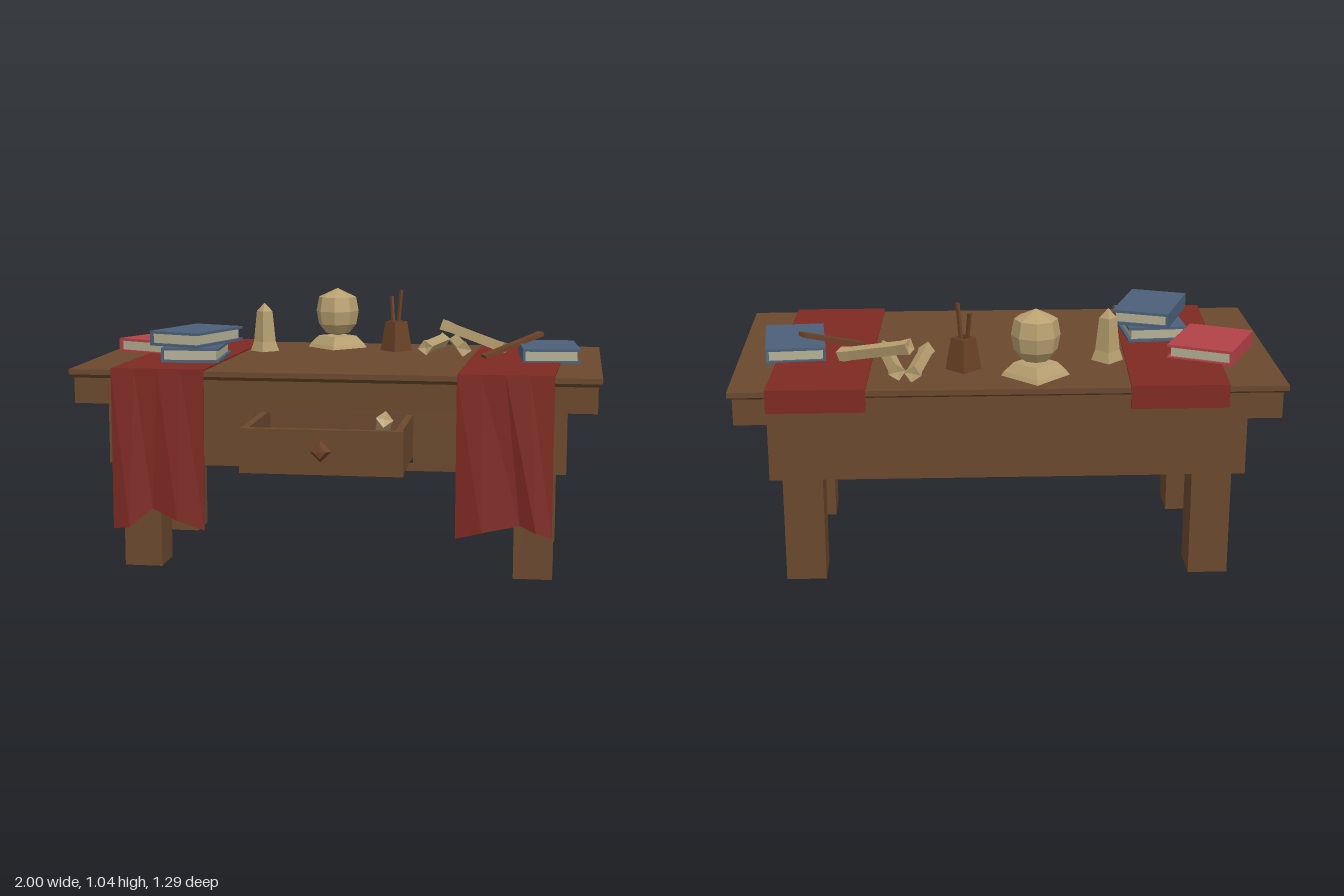
import * as THREE from 'three';

const mat = (name, color) => {
  const m = new THREE.MeshStandardMaterial({ color });
  m.name = name;
  return m;
};

export function createModel() {
  const wood = mat('wood', 0x6a482d);
  wood.side = THREE.DoubleSide; // the table body and legs are open below
  const darkWood = mat('dark wood', 0x6b4227);
  const cloth = mat('red cloth', 0x7e2922);
  const blue = mat('blue cover', 0x4b6079);
  const red = mat('red cover', 0xb24247);
  const paper = mat('pages', 0xb4b094);
  const bone = mat('parchment', 0xb8a070);
  const model = new THREE.Group();
  model.name = 'desk';

  const flat = (g) => {
    const f = g.index ? g.toNonIndexed() : g;
    f.computeVertexNormals();
    return f;
  };
  const add = (name, geo, material, parent = model) => {
    const m = new THREE.Mesh(flat(geo), material);
    m.name = name;
    parent.add(m);
    return m;
  };
  const indexed = (points, index) => {
    const g = new THREE.BufferGeometry();
    g.setAttribute('position', new THREE.Float32BufferAttribute(points.flat(), 3));
    g.setIndex(index);
    return g;
  };
  // Box given by its extents
  const box = (name, material, x0, x1, y0, y1, z0, z1, parent) => {
    const g = new THREE.BoxGeometry(x1 - x0, y1 - y0, z1 - z0);
    g.translate((x0 + x1) / 2, (y0 + y1) / 2, (z0 + z1) / 2);
    return add(name, g, material, parent);
  };
  // Turned shape from [radius, height] pairs
  const turned = (profile, sides = 4) =>
    new THREE.LatheGeometry(profile.map(([r, y]) => new THREE.Vector2(r, y)), sides);
  // Turned shape stretched between two points; heights run from 0 to 1
  const between = (name, material, a, b, profile) => {
    const A = new THREE.Vector3(...a), d = new THREE.Vector3(...b).sub(A);
    const m = add(name, turned(profile.map(([r, t]) => [r, t * d.length()])), material);
    m.position.copy(A);
    m.quaternion.setFromUnitVectors(new THREE.Vector3(0, 1, 0), d.normalize());
  };

  // Table top and moulding as one stepped shell: half width, back, front, height
  const steps = [
    [1, -0.635, 0.4, 0.787], [1, -0.635, 0.4, 0.767], [0.985, -0.607, 0.382, 0.753],
    [0.985, -0.605, 0.38, 0.655], [0.87, -0.525, 0.3, 0.655],
  ];
  const corners = steps.flatMap(([h, b, f, y]) => [[-h, y, f], [h, y, f], [h, y, b], [-h, y, b]]);
  const shell = [0, 1, 2, 0, 2, 3];
  for (let r = 0; r < steps.length - 1; r++) {
    for (let i = 0; i < 4; i++) {
      const a = r * 4 + i, b = r * 4 + (i + 1) % 4;
      shell.push(a, a + 4, b, b, a + 4, b + 4);
    }
  }
  add('tableTop', indexed(corners, shell), wood);

  // Thin apron walls, the front one cut out for the drawer
  const rect = (P, x0, x1, y0, y1) => {
    const p = new P();
    p.moveTo(x0, y0).lineTo(x1, y0).lineTo(x1, y1).lineTo(x0, y1).closePath();
    return p;
  };
  const front = rect(THREE.Shape, -0.875, 0.875, 0.412, 0.656);
  front.holes.push(rect(THREE.Path, -0.303, 0.303, 0.441, 0.625));
  const frontGeo = new THREE.ExtrudeGeometry(front, { depth: 0.01, bevelEnabled: false });
  add('frontApron', frontGeo, wood).position.z = 0.295;
  box('backApron', wood, -0.875, 0.875, 0.412, 0.656, -0.53, -0.52);
  for (const s of [-1, 1]) {
    const x = s * 0.87;
    box('sideApron', wood, x - 0.005, x + 0.005, 0.412, 0.656, -0.52, 0.295);
    for (const z of [-0.42, 0.195]) {
      // Square leg, open at the foot
      const g = new THREE.CylinderGeometry(Math.SQRT1_2, Math.SQRT1_2, 0.78, 4, 1, true);
      g.rotateY(Math.PI / 4).scale(0.148, 1, 0.16);
      add('leg', g, wood).position.set(s * 0.757, 0.39, z);
    }
  }

  // Open drawer
  const drawer = new THREE.Group();
  drawer.name = 'drawer';
  model.add(drawer);
  box('drawerBottom', wood, -0.29, 0.29, 0.447, 0.467, 0.15, 0.59, drawer);
  box('drawerFront', wood, -0.3, 0.298, 0.447, 0.612, 0.585, 0.612, drawer);
  box('drawerBack', wood, -0.29, 0.29, 0.447, 0.61, 0.15, 0.172, drawer);
  for (const s of [-1, 1]) {
    const x = s * 0.28;
    box('drawerSide', wood, x - 0.013, x + 0.013, 0.447, 0.612, 0.15, 0.59, drawer);
  }
  const knob = add('knob', turned([[0.024, 0], [0.04, 0.01], [0.024, 0.03], [0, 0.032]]), darkWood, drawer);
  knob.position.set(0, 0.535, 0.61);
  knob.rotation.x = Math.PI / 2;

  // Cloth runner: rows of five points joined as a thin closed band
  const runner = (name, rows) => {
    const t = 0.006;
    const inward = [[0, -t], [-t, -t], [-t, t], [0, t]];
    const rings = rows.map((row, r) => {
      const [dy, dz] = inward[r];
      return [...row, ...row.map(([x, y, z]) => [x, y + dy, z + dz]).reverse()];
    });
    const n = rings[0].length, index = [];
    for (let r = 0; r < rings.length - 1; r++) {
      for (let i = 0; i < n; i++) {
        const a = r * n + i, b = r * n + (i + 1) % n;
        index.push(a, b, a + n, b, b + n, a + n);
      }
    }
    const last = (rings.length - 1) * n;
    for (let i = 0; i < n / 2 - 1; i++) {
      const a = i, b = i + 1, c = n - 2 - i, d = n - 1 - i;
      index.push(a, d, b, b, d, c);
      index.push(last + a, last + b, last + d, last + b, last + c, last + d);
    }
    add(name, indexed(rings.flat(), index), cloth);
  };
  const across = (x0, x1, y, z) =>
    [0, 0.25, 0.5, 0.75, 1].map((t) => [x0 + (x1 - x0) * t, y, z]);
  runner('rightRunner', [
    [[-0.832, 0.18, 0.42], [-0.765, 0.19, 0.44], [-0.68, 0.26, 0.412], [-0.58, 0.22, 0.437], [-0.478, 0.182, 0.42]],
    across(-0.832, -0.475, 0.796, 0.413),
    across(-0.785, -0.432, 0.796, -0.643),
    across(-0.785, -0.432, 0.71, -0.643),
  ]);
  runner('leftRunner', [
    [[0.472, 0.182, 0.42], [0.57, 0.21, 0.437], [0.71, 0.237, 0.412], [0.77, 0.215, 0.44], [0.828, 0.195, 0.42]],
    across(0.472, 0.828, 0.796, 0.413),
    across(0.512, 0.866, 0.796, -0.643),
    across(0.512, 0.866, 0.71, -0.643),
  ]);

  // Books: two boards, a spine on the -x side and a block of pages
  const book = (name, cover, x, y, z, w, d, turn) => {
    const g = new THREE.Group();
    g.name = name;
    g.position.set(x, y, z);
    g.rotation.y = turn;
    model.add(g);
    const a = w / 2, b = d / 2, t = 0.01, h = 0.057;
    box('lowerBoard', cover, -a, a, 0, t, -b, b, g);
    box('upperBoard', cover, -a, a, h - t, h, -b, b, g);
    box('spine', cover, -a, -a + t, t, h - t, -b, b, g);
    box('pages', paper, -a + t, a - 0.012, t, h - t, -b + 0.012, b - 0.012, g);
  };
  book('redBook', red, -0.78, 0.791, -0.228, 0.25, 0.305, -0.437);
  book('lowerBlueBook', blue, -0.583, 0.797, 0.06, 0.225, 0.335, 0.07);
  book('upperBlueBook', blue, -0.583, 0.856, 0.056, 0.22, 0.33, -0.35);
  book('leftBlueBook', blue, 0.795, 0.791, -0.148, 0.222, 0.325, 0.09);
  book('drawerBook', red, -0.1, 0.468, 0.39, 0.2, 0.27, -0.23);

  // Faceted ball on a four-sided stand
  const ball = new THREE.Group();
  ball.name = 'ballOnStand';
  ball.position.set(-0.1, 0.787, -0.475);
  model.add(ball);
  add('stand', turned([[0, 0], [0.125, 0], [0.115, 0.015], [0.08, 0.05], [0, 0.05]]), bone, ball);
  add('ball', turned([[0, 0.05], [0.05, 0.062], [0.08, 0.1], [0.09, 0.155], [0.079, 0.214], [0, 0.251]], 8), bone, ball);

  // Candle
  add('candle', turned([[0, 0], [0.06, 0], [0.046, 0.04], [0.033, 0.165], [0, 0.2]]), bone)
    .position.set(-0.38, 0.787, -0.3);

  // Hollow pen pot with two pens
  add('penPot', turned([[0, 0], [0.066, 0], [0.045, 0.122], [0.034, 0.122], [0.04, 0.02], [0, 0.02]]), darkWood)
    .position.set(0.16, 0.787, -0.39);
  const pen = [[0, 0], [0.008, 0], [0.008, 1], [0, 1]];
  between('pen', darkWood, [0.152, 0.82, -0.38], [0.137, 1.01, -0.425], pen);
  between('pen', darkWood, [0.162, 0.82, -0.392], [0.18, 1.038, -0.39], pen);

  // Rolled scrolls, slightly flared at the ends
  const roll = [[0, 0.02], [0.032, 0], [0.027, 0.15], [0.027, 0.85], [0.032, 1], [0, 0.98]];
  for (const [a, b] of [
    [[0.345, 0.817, -0.54], [0.295, 0.817, -0.24]],
    [[0.4, 0.817, -0.52], [0.455, 0.817, -0.21]],
    [[0.355, 0.89, -0.44], [0.615, 0.815, -0.285]],
    [[0.18, 0.51, 0.31], [0.23, 0.655, 0.605]],
  ]) between('scroll', bone, a, b, roll);

  // Flat wooden stick leaning on the book
  const stick = add('stick', new THREE.BoxGeometry(0.042, 0.016, 0.275), darkWood);
  stick.position.set(0.651, 0.841, -0.172);
  stick.lookAt(0.762, 0.882, -0.242);

  return model;
}
